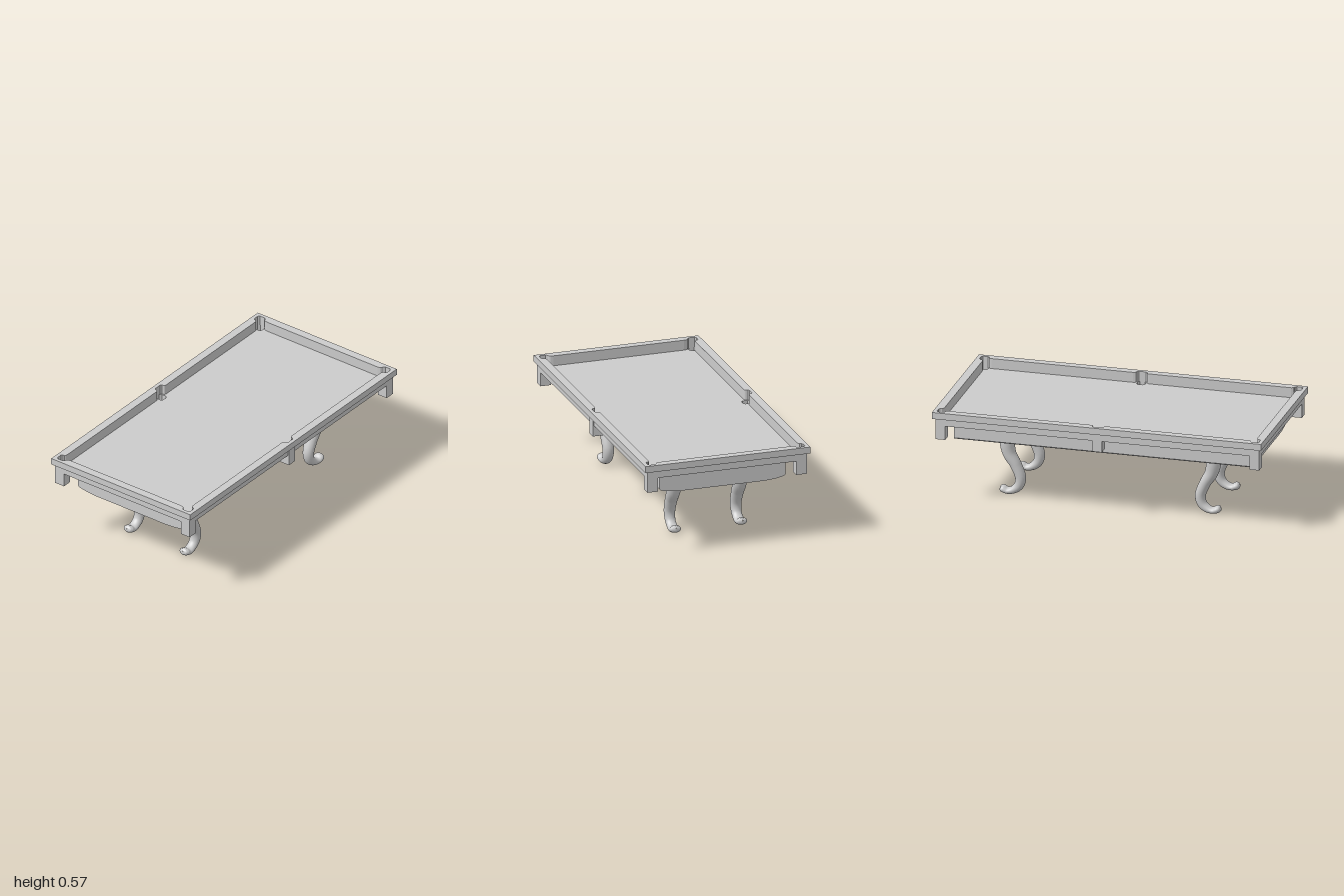
import * as THREE from 'three';
import { ParametricGeometry } from 'three/addons/geometries/ParametricGeometry.js';

const grey = new THREE.MeshStandardMaterial({ color: 0xcccccc });

function add(parent, name, geometry, x = 0, y = 0, z = 0) {
  const mesh = new THREE.Mesh(geometry, grey);
  mesh.name = name;
  mesh.position.set(x, y, z);
  parent.add(mesh);
  return mesh;
}

const toPoints = (list) => list.map(([x, y]) => new THREE.Vector2(x, y));

const rectangle = (hx, hz) => new THREE.Shape(toPoints([[-hx, -hz], [hx, -hz], [hx, hz], [-hx, hz]]));

// Square with cut corners, used for every pocket
function pocketHole(cx, cz, h = 0.026, c = 0.011) {
  return new THREE.Path(toPoints([
    [h, -h + c], [h, h - c], [h - c, h], [-h + c, h],
    [-h, h - c], [-h, -h + c], [-h + c, -h], [h - c, -h],
  ].map(([x, z]) => [cx + x, cz + z])));
}

// Flat horizontal plate with holes, rising from its base
function plate(shape, holes, height) {
  shape.holes.push(...holes);
  return new THREE.ExtrudeGeometry(shape, { depth: height, bevelEnabled: false }).rotateX(-Math.PI / 2);
}

// Playing area outline with flared pocket mouths: one quarter, mirrored
function openingPath() {
  const q = [
    [0.487, 0.022], [0.48, 0.031], [0.468, 0.034], [0.462, 0.04], [0.46, 0.05],
    [0.46, 0.91], [0.463, 0.92], [0.469, 0.927], [0.479, 0.929], [0.487, 0.938],
    [0.487, 0.968], [0.478, 0.978], [0.443, 0.978], [0.432, 0.968],
    [0.43, 0.96], [0.422, 0.953], [0.405, 0.95],
  ];
  const r = [...q].reverse();
  return new THREE.Path(toPoints([
    ...q,
    ...r.map(([x, z]) => [-x, z]),
    ...q.map(([x, z]) => [-x, -z]),
    ...r.map(([x, z]) => [x, -z]),
  ]));
}

// Curved leg with oval sections; each row is y, z, half width, half thickness
function legGeometry() {
  const rows = [
    [0.38, 0.622, 0.042, 0.043], [0.33, 0.627, 0.046, 0.045],
    [0.26, 0.615, 0.042, 0.040], [0.19, 0.575, 0.038, 0.034],
    [0.11, 0.546, 0.034, 0.032], [0.06, 0.558, 0.031, 0.029],
    [0.032, 0.592, 0.031, 0.023], [0.025, 0.625, 0.033, 0.019],
    [0.034, 0.650, 0.034, 0.022], [0.041, 0.664, 0.026, 0.017],
    [0.044, 0.671, 0.002, 0.002],
  ];
  const path = new THREE.CatmullRomCurve3(rows.map(([y, z]) => new THREE.Vector3(0, y, z)));
  const radii = new THREE.CatmullRomCurve3(rows.map(([, , a, b]) => new THREE.Vector3(a, b, 0)));
  const xAxis = new THREE.Vector3(1, 0, 0);
  return new ParametricGeometry((u, v, target) => {
    const t = Math.min(Math.max(v, 0), 1);
    const angle = u * Math.PI * 2;
    const normal = path.getTangent(t).cross(xAxis);
    const r = radii.getPoint(t);
    target.copy(path.getPoint(t))
      .addScaledVector(xAxis, r.x * Math.cos(angle))
      .addScaledVector(normal, r.y * Math.sin(angle));
  }, 24, 50);
}

export function createModel() {
  const table = new THREE.Group();
  table.name = 'billiardTable';

  // Top rail, apron and bed
  const pockets = [];
  for (const sx of [-1, 1]) for (const sz of [-1, 0, 1]) pockets.push([sx, sz]);
  add(table, 'topRail', plate(rectangle(0.51, 1), [openingPath()], 0.04), 0, 0.54, 0);
  add(table, 'apron', plate(rectangle(0.493, 0.984), [openingPath()], 0.022), 0, 0.518, 0);
  const bedHoles = pockets.map(([sx, sz]) => pocketHole(sx * 0.461, sz * 0.954));
  add(table, 'bed', plate(rectangle(0.493, 0.984), bedHoles, 0.023), 0, 0.495, 0);

  // Pocket boxes under the bed, hollow from above
  for (const [sx, sz] of pockets) {
    const box = new THREE.Group();
    box.name = sz ? 'cornerPocket' : 'sidePocket';
    const bottom = sz ? 0.41 : 0.43;
    box.position.set(sx * 0.461, bottom, sz * 0.954);
    add(box, 'pocketFloor', new THREE.BoxGeometry(0.064, 0.015, 0.06), 0, 0.0075, 0);
    add(box, 'pocketWalls', plate(rectangle(0.032, 0.03), [pocketHole(0, 0)], 0.48 - bottom), 0, 0.015, 0);
    if (!sz) add(box, 'pocketFace', new THREE.BoxGeometry(0.007, 0.11, 0.06), sx * 0.0355, 0.055, 0);
    table.add(box);
  }

  // Cabinet with a shallow curved underside
  const half = [[0.25, 0.365], [0.29, 0.367], [0.33, 0.371], [0.37, 0.378], [0.383, 0.383], [0.39, 0.39], [0.39, 0.495]];
  const profile = new THREE.Shape(toPoints([...half, ...half.map(([x, y]) => [-x, y]).reverse()]));
  add(table, 'cabinet', new THREE.ExtrudeGeometry(profile, { depth: 1.8, bevelEnabled: false }), 0, 0, -0.9);

  // Four legs, feet curling outwards
  const leg = legGeometry();
  for (const x of [-0.205, 0.205]) {
    add(table, 'frontLeg', leg, x);
    add(table, 'backLeg', leg, x).rotation.y = Math.PI;
  }
  return table;
}
